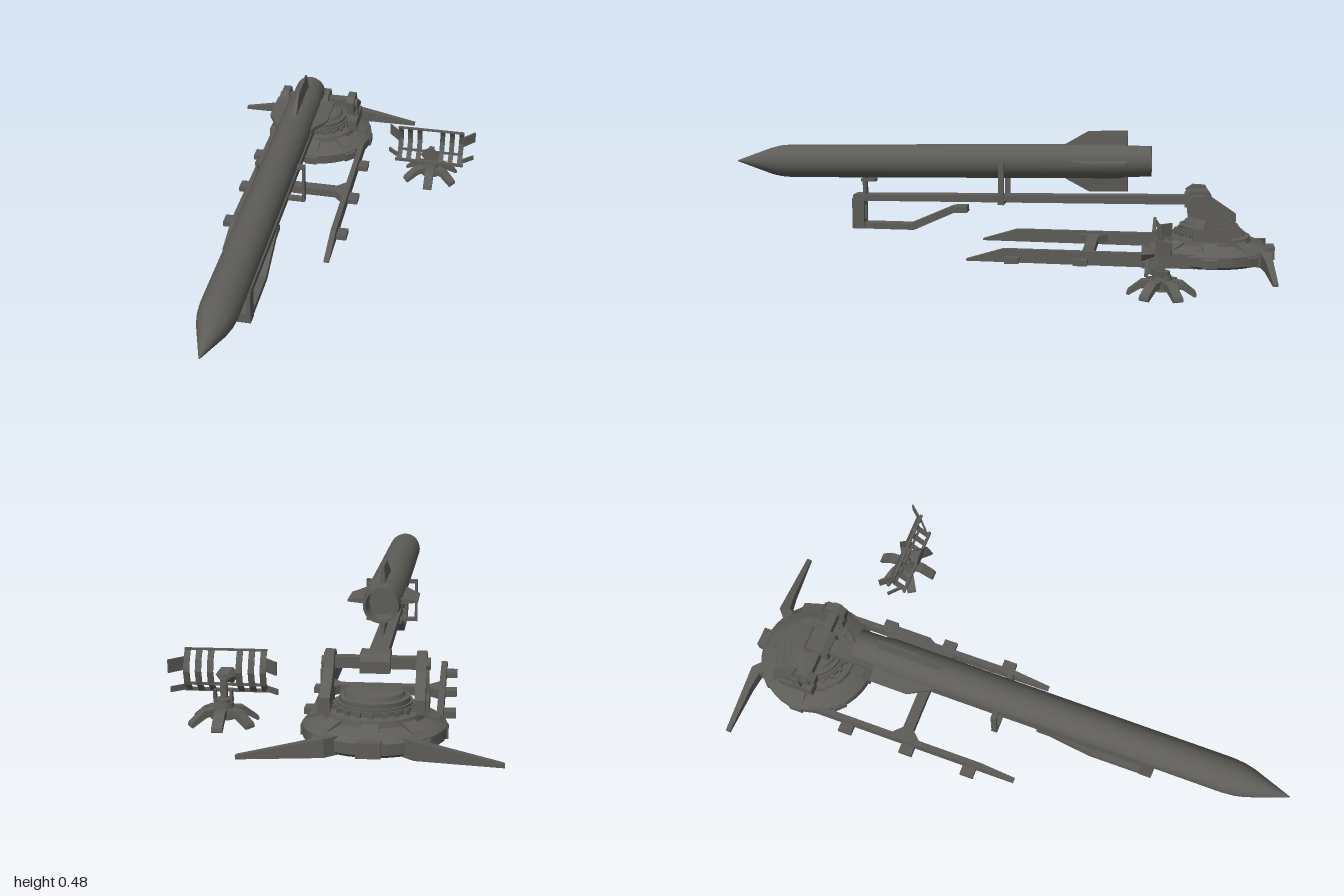
import * as THREE from 'three';
import { toCreasedNormals } from 'three/addons/utils/BufferGeometryUtils.js';

const grey = new THREE.MeshStandardMaterial({ color: 0x5d5c58 });
grey.name = 'dark grey';

function add(parent, name, geo, x = 0, y = 0, z = 0) {
  const m = new THREE.Mesh(geo, grey);
  m.name = name;
  m.position.set(x, y, z);
  parent.add(m);
  return m;
}
const box = (w, h, d) => new THREE.BoxGeometry(w, h, d);
const shape = pts => new THREE.Shape(pts.map(p => new THREE.Vector2(...p)));
const extrude = (s, depth) => new THREE.ExtrudeGeometry(s, { depth, bevelEnabled: false });

// Outline in (z, y), extruded across x and centred on it
const sidePlate = (pts, width) =>
  extrude(shape(pts), width).translate(0, 0, -width / 2).rotateY(-Math.PI / 2);
// Outline in (x, z), standing from y0 to y1
const planPlate = (pts, y0, y1) => extrude(shape(pts), y1 - y0).rotateX(Math.PI / 2).translate(0, y1, 0);
const lathe = (pts, n) =>
  toCreasedNormals(new THREE.LatheGeometry(pts.map(p => new THREE.Vector2(...p)), n), 0.45);

function missile() {
  const g = new THREE.Group();
  g.name = 'missile';
  const body = lathe([[0, 0.08], [0.042, 0.08], [0.047, 0], [0.055, 0], [0.057, 0.09], [0.062, 0.12],
    [0.062, 1.34], [0.058, 1.385], [0.05, 1.42], [0.003, 1.555], [0, 1.56]], 28);
  add(g, 'missileBody', body.rotateX(Math.PI / 2));
  // Four tail fins, tapering in thickness toward the tip
  for (let i = 0; i < 4; i++) {
    const fin = sidePlate([[0.085, 0.05], [0.31, 0.05], [0.31, 0.062], [0.225, 0.11], [0.085, 0.11]], 0.02);
    const p = fin.attributes.position;
    for (let k = 0; k < p.count; k++) if (p.getY(k) > 0.1) p.setX(k, p.getX(k) * 0.35);
    fin.computeVertexNormals();
    add(g, 'tailFin', fin).rotation.z = i * Math.PI / 2;
  }
  g.position.set(0, 0.372, -0.56);
  g.rotation.x = 0.0186;
  return g;
}

function base() {
  const g = new THREE.Group();
  g.name = 'base';
  const zc = -0.768;
  add(g, 'baseDisc', lathe([[0, 0.025], [0.2, 0.025], [0.212, 0.035], [0.212, 0.068], [0.195, 0.082],
    [0.15, 0.095], [0.146, 0.113], [0.118, 0.116], [0.118, 0.13], [0, 0.13]], 40), 0, 0, zc);
  add(g, 'turntable', lathe([[0, 0.126], [0.112, 0.126], [0.112, 0.137], [0.104, 0.137], [0.104, 0.15],
    [0.09, 0.152], [0.085, 0.164], [0.05, 0.17], [0, 0.171]], 36), 0, 0, zc);

  // Bearing teeth and rim blocks
  for (let i = 0; i < 20; i++) {
    const a = i * Math.PI / 10;
    add(g, 'bearingTooth', box(0.014, 0.014, 0.016), Math.sin(a) * 0.118, 0.121, zc + Math.cos(a) * 0.118)
      .rotation.y = a;
  }
  for (let i = 0; i < 8; i++) {
    const a = i * Math.PI / 4;
    const block = sidePlate([[0.14, 0.03], [0.216, 0.03], [0.216, 0.06], [0.19, 0.088], [0.14, 0.108]], 0.05);
    add(g, 'rimBlock', block, 0, 0, zc).rotation.y = a;
  }
  add(g, 'rearBlock', box(0.07, 0.045, 0.04), 0, 0.055, -0.98);

  for (const s of [-1, 1]) {
    // Rear outrigger, tapering down to its tip
    const leg = planPlate([[0.06, -0.92], [0.125, -0.98], [0.373, -0.985], [0.373, -0.968],
      [0.2, -0.955], [0.14, -0.945], [0.1, -0.88]].map(([x, z]) => [x, z]), 0, 1);
    const p = leg.attributes.position;
    for (let k = 0; k < p.count; k++) {
      const t = THREE.MathUtils.clamp((p.getX(k) - 0.12) / 0.253, 0, 1);
      p.setY(k, p.getY(k) > 0.5 ? 0.08 - 0.055 * t : 0.025 - 0.011 * t);
    }
    leg.computeVertexNormals();
    if (s < 0) leg.rotateY(Math.PI).translate(0, 0, 0).scale(1, 1, -1);
    if (s < 0) flip(leg);
    add(g, 'rearOutrigger', leg);

    // Front rail with pads and gusset
    add(g, 'frontRail', sidePlate([[-0.72, 0.025], [0.083, 0.028], [0.083, 0.034], [-0.05, 0.075],
      [-0.72, 0.075]], 0.02), s * 0.188);
    for (const z of [-0.565, -0.325, -0.085])
      add(g, 'railPad', box(0.04, 0.02, 0.05), s * 0.215, 0.04, z);
    const gusset = [[s * 0.18, -0.4], [s * 0.18, -0.285], [s * 0.145, -0.325], [s * 0.145, -0.365]];
    add(g, 'gusset', planPlate(gusset, 0.035, 0.065));

    // Cradle upright, foot and pivot
    add(g, 'upright', sidePlate([[-0.69, 0.2], [-0.685, 0.255], [-0.71, 0.272], [-0.755, 0.27],
      [-0.78, 0.225], [-0.87, 0.165], [-0.87, 0.13], [-0.81, 0.13], [-0.75, 0.19]], 0.03), s * 0.135);
    add(g, 'uprightFoot', box(0.036, 0.045, 0.13), s * 0.142, 0.136, -0.775);
    add(g, 'uprightStrut', box(0.02, 0.1, 0.03), s * 0.148, 0.175, -0.765);
    add(g, 'pivotCap', new THREE.CylinderGeometry(0.02, 0.02, 0.012, 12).rotateZ(Math.PI / 2),
      s * 0.154, 0.235, -0.725);
  }
  add(g, 'railCrossbar', box(0.32, 0.03, 0.04), 0, 0.05, -0.345);
  return g;
}

// Reverses the winding of a mirrored, unindexed geometry
function flip(geo) {
  const p = geo.attributes.position;
  const a = new THREE.Vector3(), b = new THREE.Vector3();
  for (let i = 0; i < p.count; i += 3) {
    a.fromBufferAttribute(p, i + 1);
    b.fromBufferAttribute(p, i + 2);
    p.setXYZ(i + 1, b.x, b.y, b.z);
    p.setXYZ(i + 2, a.x, a.y, a.z);
  }
  geo.computeVertexNormals();
}

function boom() {
  const g = new THREE.Group();
  g.name = 'boom';
  add(g, 'boomBeam', sidePlate([[0.54, 0.205], [0.54, 0.228], [-0.7, 0.252], [-0.7, 0.222]], 0.058));
  add(g, 'axle', box(0.25, 0.034, 0.034), 0, 0.238, -0.725);
  add(g, 'boomHinge', sidePlate([[-0.68, 0.215], [-0.68, 0.258], [-0.7, 0.272], [-0.76, 0.272],
    [-0.775, 0.25], [-0.775, 0.215]], 0.088));

  // Front frame with a window, and the bent lower arm behind it
  const frame = shape([[-0.028, 0.1], [0.028, 0.1], [0.028, 0.215], [-0.028, 0.215]]);
  frame.holes.push(shape([[-0.014, 0.135], [-0.014, 0.188], [0.014, 0.188], [0.014, 0.135]]));
  add(g, 'frontFrame', extrude(frame, 0.045), 0, 0, 0.5);
  add(g, 'lowerArm', sidePlate([[0.52, 0.1], [0.52, 0.122], [0.325, 0.122], [0.165, 0.192], [0.11, 0.195],
    [0.11, 0.17], [0.16, 0.168], [0.31, 0.1]], 0.052));

  // Missile supports: nose post, side posts and rear saddle
  add(g, 'nosePost', box(0.026, 0.07, 0.014), 0, 0.255, 0.5);
  add(g, 'nosePad', box(0.036, 0.01, 0.055), 0, 0.282, 0.485);
  for (const s of [-1, 1]) {
    add(g, 'sidePost', box(0.009, 0.142, 0.02), s * 0.085, 0.289, -0.026);
    add(g, 'postClamp', box(0.03, 0.012, 0.02), s * 0.07, 0.354, -0.026);
  }
  add(g, 'postCrossbar', box(0.18, 0.012, 0.022), 0, 0.219, -0.026);
  return g;
}

function radar() {
  const g = new THREE.Group();
  g.name = 'radar';
  // Six splayed feet around a pedestal
  for (let i = 0; i < 6; i++)
    add(g, 'radarFoot', sidePlate([[0.02, 0.03], [0.06, 0.028], [0.105, 0], [0.112, 0.004], [0.108, 0.016],
      [0.065, 0.05], [0.02, 0.054]], 0.034)).rotation.y = i * Math.PI / 3;
  add(g, 'pedestal', new THREE.CylinderGeometry(0.03, 0.042, 0.05, 12), 0, 0.044);
  add(g, 'pedestalCap', new THREE.CylinderGeometry(0.026, 0.026, 0.012, 12), 0, 0.074);
  for (const s of [-1, 1]) add(g, 'fork', box(0.008, 0.04, 0.022), s * 0.026, 0.088, 0);

  // Curved antenna slats between a top and a bottom bar
  const curve = [[0.03, 0.23], [0.01, 0.2], [0, 0.165], [0.012, 0.125], [0.05, 0.093]];
  const band = [...curve, ...curve.map(([z, y]) => [z - 0.006, y - 0.002]).reverse()];
  for (const s of [-1, 1]) {
    for (const x of [0.045, 0.083, 0.12]) add(g, 'slat', sidePlate(band, 0.019), s * x - 0.005);
    add(g, 'sideWing', box(0.062, 0.042, 0.006), s * 0.148 - 0.003, 0.185, -0.005).rotation.y = s * 0.85;
    add(g, 'lowerWing', box(0.055, 0.018, 0.006), s * 0.148 - 0.003, 0.105, 0.015).rotation.y = s * 0.75;
  }
  add(g, 'topBar', box(0.26, 0.006, 0.01), -0.005, 0.229, 0.027);
  add(g, 'bottomBar', box(0.27, 0.01, 0.01), -0.005, 0.094, 0.048);
  add(g, 'middleBar', box(0.25, 0.008, 0.008), -0.005, 0.122, 0.012);

  // Feed horn
  const horn = new THREE.CylinderGeometry(0.038, 0.016, 0.04, 6).toNonIndexed();
  horn.computeVertexNormals();
  add(g, 'feedHorn', horn.rotateY(Math.PI / 6).rotateX(Math.PI / 2).scale(1, 0.75, 1), 0, 0.138, 0.045);
  add(g, 'hornArm', box(0.02, 0.06, 0.02), 0, 0.11, 0.01);
  g.position.set(0.34, 0, -0.608);
  return g;
}

export function createModel() {
  const model = new THREE.Group();
  model.name = 'missileLauncherWithRadar';
  const launcher = new THREE.Group();
  launcher.name = 'launcher';
  launcher.add(base(), boom(), missile());
  launcher.position.x = -0.144;
  model.add(launcher, radar());
  return model;
}
